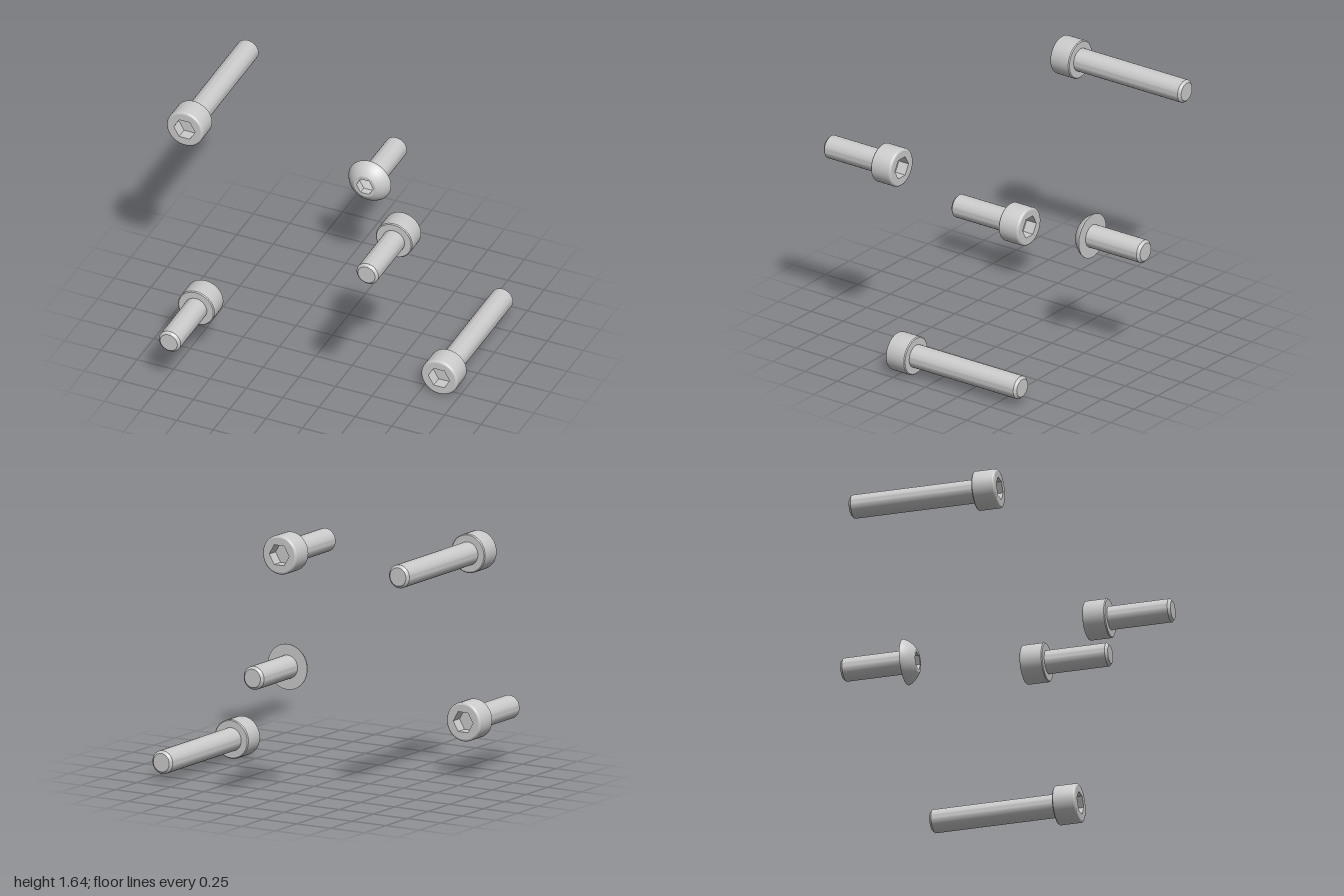
import * as THREE from 'three';
import { toCreasedNormals } from 'three/addons/utils/BufferGeometryUtils.js';

const material = new THREE.MeshStandardMaterial({ color: 0xcccccc });
const SHANK_R = 0.075;

// Turned part along z; profile is [radius, z] pairs running from back to front
function turned(name, profile, segments = 48, phiStart = 0) {
  const points = profile.map(([r, z]) => new THREE.Vector2(r, z));
  const lathe = new THREE.LatheGeometry(points, segments, phiStart).rotateX(Math.PI / 2);
  const mesh = new THREE.Mesh(toCreasedNormals(lathe, 0.5), material);
  mesh.name = name;
  return mesh;
}

// Flat front face with a hexagonal opening
function hexFace(radius, hexR) {
  const shape = new THREE.Shape().absarc(0, 0, radius, 0, Math.PI * 2);
  const corners = [];
  for (let i = 0; i < 6; i++) {
    const a = (i * Math.PI) / 3;
    corners.push(new THREE.Vector2(hexR * Math.cos(a), hexR * Math.sin(a)));
  }
  shape.holes.push(new THREE.Path(corners));
  const mesh = new THREE.Mesh(new THREE.ShapeGeometry(shape, 24), material);
  mesh.name = 'headFace';
  return mesh;
}

// Screw with its head face at z = 0 and its shank running towards -z
function screw(name, { headProfile, faceR, hexR, depth, tip, headLength, length }) {
  const group = new THREE.Group();
  group.name = name;
  const c = 0.016;
  group.add(
    turned('head', headProfile),
    hexFace(faceR, hexR),
    // Six-sided walls and floor, facing inwards
    turned('hexSocket', [[hexR, 0], [hexR, -depth], [0, -depth - tip]], 6, Math.PI / 2),
    turned('shank', [[0, -length], [SHANK_R - c, -length], [SHANK_R, -length + c], [SHANK_R, -headLength]])
  );
  return group;
}

function capScrew(name, length) {
  const R = 0.125, H = 0.15, f = 0.014, b = 0.006;
  const headProfile = [[SHANK_R, -H], [R - b, -H], [R, -H + b]];
  // Rounded front rim
  for (let i = 0; i <= 4; i++) {
    const a = (i / 4) * (Math.PI / 2);
    headProfile.push([R - f + f * Math.cos(a), -f + f * Math.sin(a)]);
  }
  return screw(name, { headProfile, faceR: R - f, hexR: 0.073, depth: 0.075, tip: 0, headLength: H, length });
}

function buttonScrew(name, length) {
  const R = 0.146, H = 0.078, faceR = 0.074, edge = 0.004;
  const headProfile = [[SHANK_R, -H], [R, -H]];
  // Circular dome from the rim to the flat face, centred on the axis
  const h = H - edge;
  const centre = (R * R - faceR * faceR - h * h) / (2 * h);
  const sphereR = Math.hypot(faceR, h + centre);
  const a0 = Math.atan2(centre, R), a1 = Math.atan2(h + centre, faceR);
  for (let i = 0; i <= 10; i++) {
    const a = a0 + ((a1 - a0) * i) / 10;
    headProfile.push([sphereR * Math.cos(a), sphereR * Math.sin(a) - h - centre]);
  }
  return screw(name, { headProfile, faceR, hexR: 0.058, depth: 0.05, tip: 0.03, headLength: H, length });
}

export function createModel() {
  const model = new THREE.Group();
  model.name = 'screwSet';
  const place = (part, x, y, z, turn = 0) => {
    part.position.set(x, y, z);
    part.rotation.y = turn;
    model.add(part);
  };

  // Long screws, heads to the front
  place(capScrew('longScrewUpper', 0.97), -0.875, 1.516, 0.312);
  place(capScrew('longScrewLower', 0.97), 0.875, 0.126, 0.312);

  // Short screws, heads to the back
  place(capScrew('shortScrewUpper', 0.56), 0.68, 1.28, 0.416, Math.PI);
  place(capScrew('shortScrewLower', 0.56), -0.68, 0.368, 0.416, Math.PI);

  // Domed screw in the middle
  place(buttonScrew('buttonScrew', 0.488), 0, 0.824, -0.488);
  return model;
}
